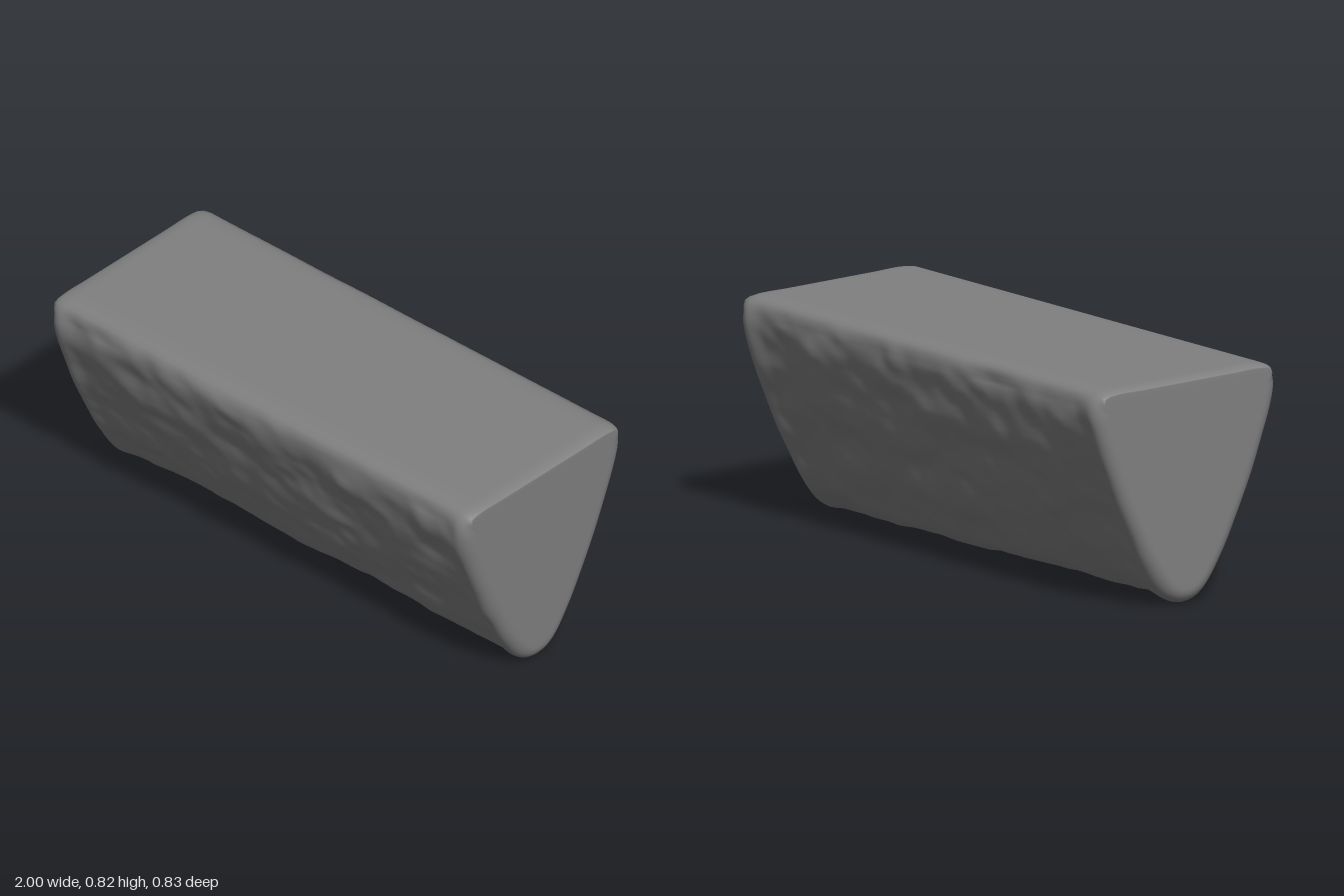
import * as THREE from 'three';

// Half cross-section as [z, y], from the middle of the top down to the keel
const HALF = [[0, 0.828], [0.2, 0.828], [0.33, 0.828], [0.385, 0.817], [0.415, 0.785], [0.421, 0.735],
  [0.405, 0.66], [0.36, 0.535], [0.305, 0.4], [0.245, 0.275], [0.18, 0.155], [0.1, 0.045], [0.05, 0.012], [0, 0.003]];

const hash = (x, y, z) => {
  let h = Math.imul(x, 374761393) ^ Math.imul(y, 668265263) ^ Math.imul(z, 1274126177);
  h = Math.imul(h ^ (h >>> 13), 1103515245);
  return ((h ^ (h >>> 16)) >>> 0) / 4294967295;
};

// Smooth lattice noise between 0 and 1
function noise(x, y, z) {
  const X = Math.floor(x), Y = Math.floor(y), Z = Math.floor(z);
  const fade = (t) => t * t * (3 - 2 * t);
  const u = fade(x - X), v = fade(y - Y), w = fade(z - Z);
  const mix = THREE.MathUtils.lerp;
  const row = (j, k) => mix(hash(X, Y + j, Z + k), hash(X + 1, Y + j, Z + k), u);
  return mix(mix(row(0, 0), row(1, 0), v), mix(row(0, 1), row(1, 1), v), w);
}

// Rough hewn relief, cut inwards from the hull of the stone
const relief = (x, y, z) =>
  0.026 * noise(x * 5 + 7, y * 9 + 3, z * 8 + 11) + 0.01 * noise(x * 13 + 40, y * 19, z * 19 + 5);

function stoneGeometry() {
  const around = 112, along = 150, round = 0.06;
  const mirrored = HALF.slice(1, -1).reverse().map(([z, y]) => [-z, y]);
  const curve = new THREE.CatmullRomCurve3(
    [...HALF, ...mirrored].map(([z, y]) => new THREE.Vector3(0, y, z)), true, 'centripetal');

  // Stations along x: flat cap, rounded edge, body, rounded edge, flat cap
  const end = [];
  for (const s of [0, 0.5, 0.95]) end.push({ x: 1, inset: round, scale: s });
  for (let i = 0; i <= 8; i++) {
    const a = (1 - i / 8) * Math.PI / 2;
    end.push({ x: 1 - round + round * Math.sin(a), inset: round * (1 - Math.cos(a)), scale: 1 });
  }
  const stations = end.map((s) => ({ ...s, x: -s.x }));
  for (let i = 1; i < along; i++) {
    stations.push({ x: (1 - round) * (2 * i / along - 1), inset: 0, scale: 1 });
  }
  stations.push(...end.reverse());

  const positions = [], index = [];
  stations.forEach(({ x, inset, scale }, i) => {
    const edgeFade = THREE.MathUtils.smoothstep(1 - Math.abs(x), 0.0, 0.12);
    for (let j = 0; j < around; j++) {
      const p = curve.getPointAt(j / around), t = curve.getTangentAt(j / around);
      const ny = t.z, nz = -t.y;
      // The top stays smooth and keeps a tighter edge at the ends
      const topness = THREE.MathUtils.smoothstep(ny, 0.3, 0.95);
      const depth = inset * (1 - 0.75 * topness)
        + relief(x, p.y, p.z) * edgeFade * (1 - topness);
      const y = 0.45 + (p.y - ny * depth - 0.45) * scale;
      const z = (p.z - nz * depth) * scale;
      // The left end leans in slightly towards the keel
      const lean = 0.022 * THREE.MathUtils.smoothstep(x, 0.7, 1) * (1 - y / 0.83);
      positions.push(x - lean, y, z);
      if (i < stations.length - 1) {
        const a = i * around + j, b = i * around + (j + 1) % around;
        index.push(a, b, b + around, a, b + around, a + around);
      }
    }
  });

  const geometry = new THREE.BufferGeometry();
  geometry.setAttribute('position', new THREE.Float32BufferAttribute(positions, 3));
  geometry.setIndex(index);
  geometry.computeVertexNormals();
  return geometry;
}

export function createModel() {
  const group = new THREE.Group();
  group.name = 'stoneBlock';
  const stone = new THREE.MeshStandardMaterial({ color: 0x808080 });
  stone.name = 'grey stone';
  const block = new THREE.Mesh(stoneGeometry(), stone);
  block.name = 'hewnStone';
  group.add(block);
  return group;
}
